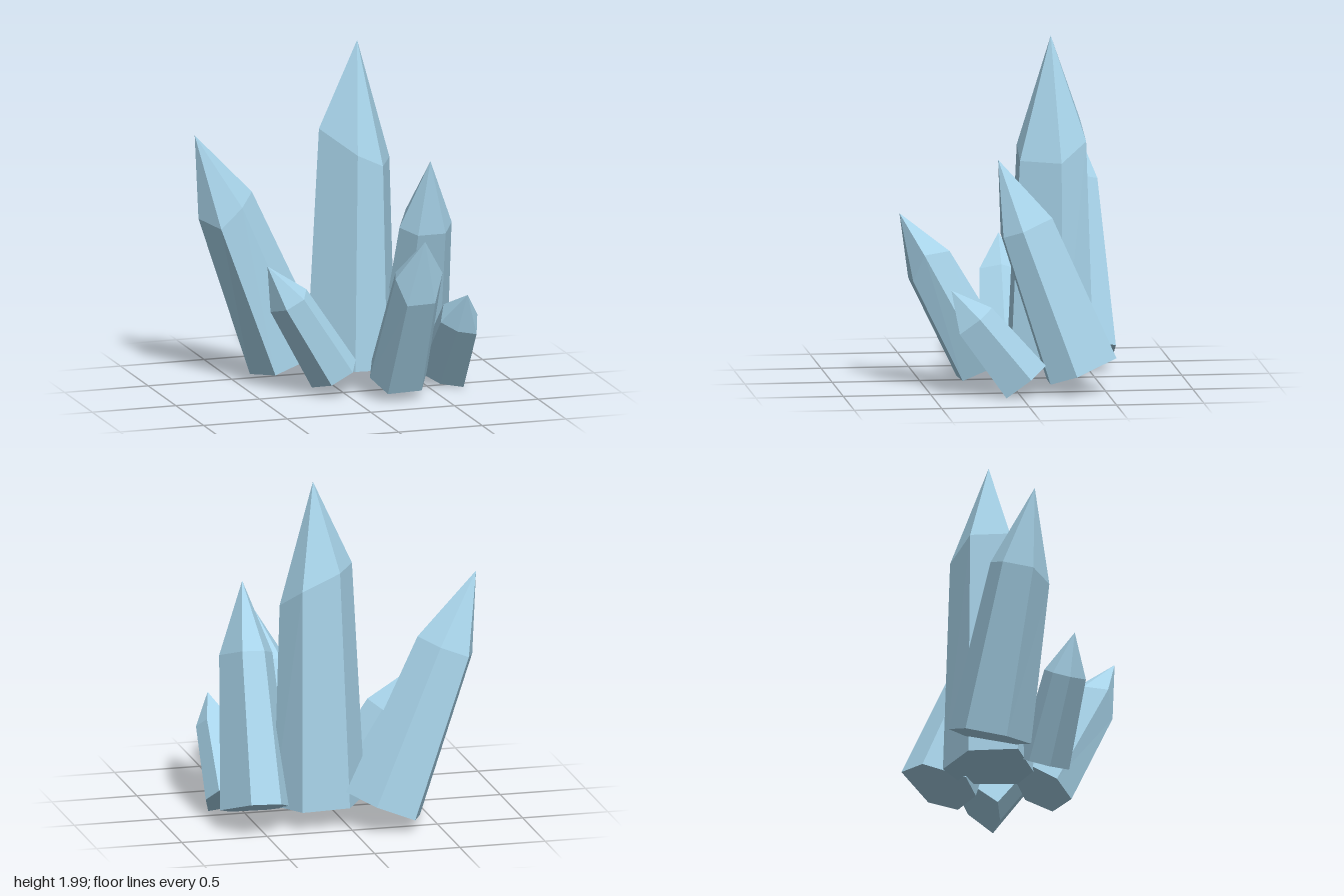
import * as THREE from 'three';

const material = new THREE.MeshStandardMaterial({ color: 0xa8d4ea, flatShading: true });

// Six-sided tapering crystal with a pointed tip. The section is a list of [x, z]
// offsets round the base centre, counter-clockwise from above; the base is cut
// square to the axis. Lifts raise single shoulder corners.
function crystal(name, base, tip, section, taper, lifts = [0, 0, 0, 0, 0, 0]) {
  const foot = new THREE.Vector3(...base);
  const point = new THREE.Vector3(...tip);
  const axis = point.clone().sub(foot);
  const waist = foot.clone().addScaledVector(axis, 0.68);

  const offsets = section.map(([x, z]) =>
    new THREE.Vector3(x, -(axis.x * x + axis.z * z) / axis.y, z));
  const lower = offsets.map((o) => foot.clone().add(o));
  const upper = offsets.map((o, i) =>
    waist.clone().addScaledVector(o, taper).addScaledVector(axis, lifts[i] / axis.y));

  const corners = [];
  for (let i = 0; i < section.length; i++) {
    const j = (i + 1) % section.length;
    corners.push(
      lower[i], lower[j], upper[j], // side
      lower[i], upper[j], upper[i],
      upper[i], upper[j], point, // tip facet
      foot, lower[j], lower[i], // underside
    );
  }
  const geometry = new THREE.BufferGeometry().setFromPoints(corners);
  geometry.computeVertexNormals();
  const mesh = new THREE.Mesh(geometry, material);
  mesh.name = name;
  return mesh;
}

export function createModel() {
  const group = new THREE.Group();
  group.name = 'crystalCluster';
  group.add(
    // Tall upright centre
    crystal('mainCrystal', [0.13, 0.12, -0.22], [0.16, 2, -0.23],
      [[0.27, -0.05], [0.15, -0.24], [-0.13, -0.23], [-0.28, 0.01], [-0.06, 0.23], [0.13, 0.23]],
      0.8, [-0.1, 0.01, 0.1, 0.1, -0.03, -0.1]),
    // Leaning to the right side and back
    crystal('rearLeaningCrystal', [-0.215, 0.125, -0.437], [-0.745, 1.465, -0.43],
      [[0.24, -0.018], [0.105, -0.2], [-0.115, -0.213], [-0.2, 0.007], [-0.115, 0.212], [0.085, 0.217]],
      0.74, [0, 0, 0, 0, -0.06, 0]),
    crystal('smallSideCrystal', [-0.055, 0.12, 0.005], [-0.45, 0.775, -0.008],
      [[0.125, 0.01], [0.055, -0.13], [-0.06, -0.125], [-0.125, -0.025], [-0.06, 0.135], [0.06, 0.155]],
      0.82),
    // Leaning forward
    crystal('frontCrystal', [0.265, 0.13, 0.17], [0.275, 1.015, 0.65],
      [[0.18, -0.005], [0.065, -0.155], [-0.11, -0.12], [-0.165, 0.01], [-0.1, 0.14], [0.105, 0.13]],
      0.82, [0.06, 0, 0, 0.05, -0.04, -0.04]),
    crystal('largeSideCrystal', [0.51, 0.13, -0.34], [0.485, 1.345, 0.112],
      [[0.215, 0.03], [0.095, -0.21], [-0.09, -0.175], [-0.21, 0.04], [-0.1, 0.165], [0.12, 0.17]],
      0.74),
    crystal('smallFrontCrystal', [0.605, 0.1, -0.025], [0.613, 0.62, 0.396],
      [[0.135, -0.02], [0.08, -0.11], [-0.085, -0.1], [-0.145, 0.02], [-0.045, 0.09], [0.085, 0.115]],
      0.82),
  );
  return group;
}
